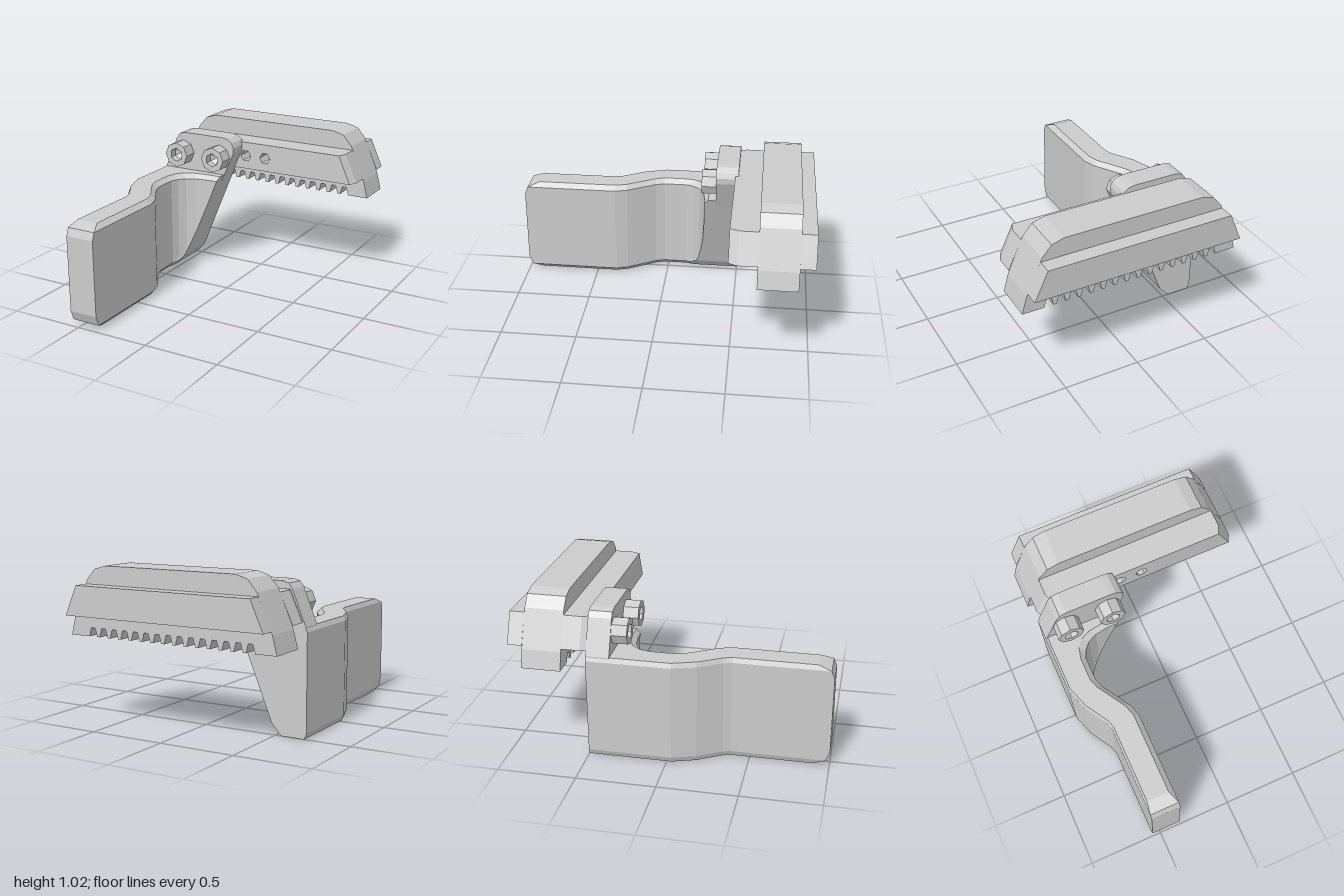
import * as THREE from 'three';

const material = new THREE.MeshStandardMaterial({ color: 0xcccccc, flatShading: true });
const thinMaterial = new THREE.MeshStandardMaterial({ color: 0xcccccc, flatShading: true, side: THREE.DoubleSide });

function addMesh(group, name, geometry, mat = material) {
  const mesh = new THREE.Mesh(geometry, mat);
  mesh.name = name;
  group.add(mesh);
  return mesh;
}

const toVectors = (pts) => pts.map(([x, y]) => new THREE.Vector2(x, y));

function polygon(cx, cy, r, sides, start = 0) {
  return Array.from({ length: sides }, (_, i) => {
    const a = start + (i / sides) * Math.PI * 2;
    return [cx + r * Math.cos(a), cy + r * Math.sin(a)];
  });
}

// Extrude an x/y outline from z0 to z1
function slab(pts, z0, z1, holes = [], steps = 1) {
  const shape = new THREE.Shape(toVectors(pts));
  shape.holes = holes.map((h) => new THREE.Path(toVectors(h)));
  return new THREE.ExtrudeGeometry(shape, { depth: z1 - z0, steps, bevelEnabled: false }).translate(0, 0, z0);
}

// Join horizontal rings (counterclockwise from above) and cap both ends
function loft(rings) {
  const pos = [];
  const tri = (...v) => v.forEach((p) => pos.push(...p));
  const n = rings[0].length;
  for (let k = 0; k + 1 < rings.length; k++) {
    const a = rings[k], b = rings[k + 1];
    for (let i = 0; i < n; i++) {
      const j = (i + 1) % n;
      tri(a[i], a[j], b[j]);
      tri(a[i], b[j], b[i]);
    }
  }
  const cap = (ring, up) => {
    const faces = THREE.ShapeUtils.triangulateShape(ring.map((p) => new THREE.Vector2(p[0], -p[2])), []);
    for (const [i, j, k] of faces) up ? tri(ring[i], ring[j], ring[k]) : tri(ring[i], ring[k], ring[j]);
  };
  cap(rings[0], false);
  cap(rings[rings.length - 1], true);
  const g = new THREE.BufferGeometry();
  g.setAttribute('position', new THREE.Float32BufferAttribute(pos, 3));
  g.computeVertexNormals();
  return g;
}

// Slanted edge that cuts the inner side of the arm's mounting block
const slantX = (y) => (y < 0.07 ? -0.54 + y * 0.93 : -0.475 + ((y - 0.07) * 0.237) / 0.58);

// Arm plan: inner side runs front to back, outer side back to front
const innerSide = [[-0.36, 1], [-0.36, 0.36], [-0.385, 0.28], [-0.5, 0.09], [-0.52, 0.03], [-0.52, -0.13],
  [-0.5, -0.18], [-0.46, -0.225], [-0.4, -0.255], [-0.3, -0.27], [-0.15, -0.27]];
const outerSide = [[-0.71, -0.5], [-0.71, 0.03], [-0.66, 0.18], [-0.57, 0.33], [-0.555, 0.38], [-0.555, 1]];

function armRing(y, inset, endZ) {
  const limit = slantX(y);
  const inner = innerSide.map(([x, z]) => [x - inset, z < -0.15 ? z - inset * 0.8 : Math.min(z, endZ)]);
  const ring = [];
  inner.forEach(([x, z], i) => {
    // Past the slant, stay where the fillet curve meets it
    if (z < 0 && x > limit) {
      const j = inner.findIndex((p) => p[1] < 0 && p[0] > limit);
      const [x0, z0] = inner[j - 1], [x1, z1] = inner[j];
      const t = Math.max(0, (limit - x0) / (x1 - x0));
      ring.push([x0 + (x1 - x0) * t, y, z0 + (z1 - z0) * t]);
    } else ring.push([x, y, z]);
  });
  ring.push([limit, y, -0.5]);
  outerSide.forEach(([x, z]) => ring.push([x + inset * 0.4, y, Math.min(z, endZ)]));
  return ring;
}

export function createModel() {
  const model = new THREE.Group();
  model.name = 'leverAndRack';

  // Toothed rack: arched block with trapezoid notches along the bottom
  const half = [[0.73, 0.575], [0.7, 0.69], [0.6, 0.925], [0.54, 0.995], [0.46, 1.018]];
  const rack = [];
  for (let k = -7; k <= 7; k++) {
    const x = k * 0.08;
    rack.push([x - 0.03, 0.575], [x - 0.015, 0.63], [x + 0.015, 0.63], [x + 0.03, 0.575]);
  }
  rack.push(...half, ...half.map(([x, y]) => [-x, y]).reverse());
  addMesh(model, 'toothedRack', slab(rack, -0.905, -0.655));

  // Side rails of the rack; the front one has hex holes and chamfered ends
  const rail = [[-0.695, 0.71], [0.695, 0.71], [0.61, 0.9], [-0.61, 0.9]];
  addMesh(model, 'backRail', slab(rail, -1, -0.905));
  const holes = [-0.12, 0.03].map((x) => polygon(x, 0.803, 0.04, 6));
  const frontRail = slab(rail, -0.655, -0.478, holes, 3);
  const p = frontRail.attributes.position;
  for (let i = 0; i < p.count; i++) {
    const x = p.getX(i);
    if (p.getZ(i) > -0.49 && Math.abs(x) > 0.5) p.setX(i, x - Math.sign(x) * 0.025);
  }
  frontRail.computeVertexNormals();
  addMesh(model, 'frontRail', frontRail);

  // Bent lever arm with bevelled rims and a clipped front end
  const levels = [[0, 0.035, 0.9], [0.035, 0, 0.975], [0.07, 0, 0.988], [0.1, 0, 1], [0.2, 0, 1], [0.3, 0, 1],
    [0.4, 0, 1], [0.5, 0, 1], [0.6, 0, 1], [0.65, 0, 0.98], [0.68, 0.035, 0.9]];
  addMesh(model, 'leverArm', loft(levels.map((l) => armRing(...l))));

  // Mounting tab that rises from the arm
  addMesh(model, 'mountingTab', slab([[-0.7, 0.62], [-0.25, 0.62], [-0.152, 0.84], [-0.15, 0.88], [-0.165, 0.915],
    [-0.2, 0.94], [-0.24, 0.947], [-0.54, 0.947], [-0.585, 0.935], [-0.61, 0.9], [-0.7, 0.68]], -0.5, -0.352));

  // Two bolts with hexagonal sockets
  for (const x of [-0.555, -0.265]) {
    const bolt = new THREE.Group();
    bolt.name = 'bolt';
    addMesh(bolt, 'boltHead', slab(polygon(0, 0, 0.087, 8, Math.PI / 2), 0, 0.1,
      [polygon(0, 0, 0.048, 6, Math.PI / 2)]));
    const socket = new THREE.ConeGeometry(0.048, 0.04, 6, 1, true).rotateX(-Math.PI / 2).translate(0, 0, 0.025);
    addMesh(bolt, 'boltSocket', socket, thinMaterial);
    bolt.position.set(x, 0.805, -0.354);
    model.add(bolt);
  }
  return model;
}
